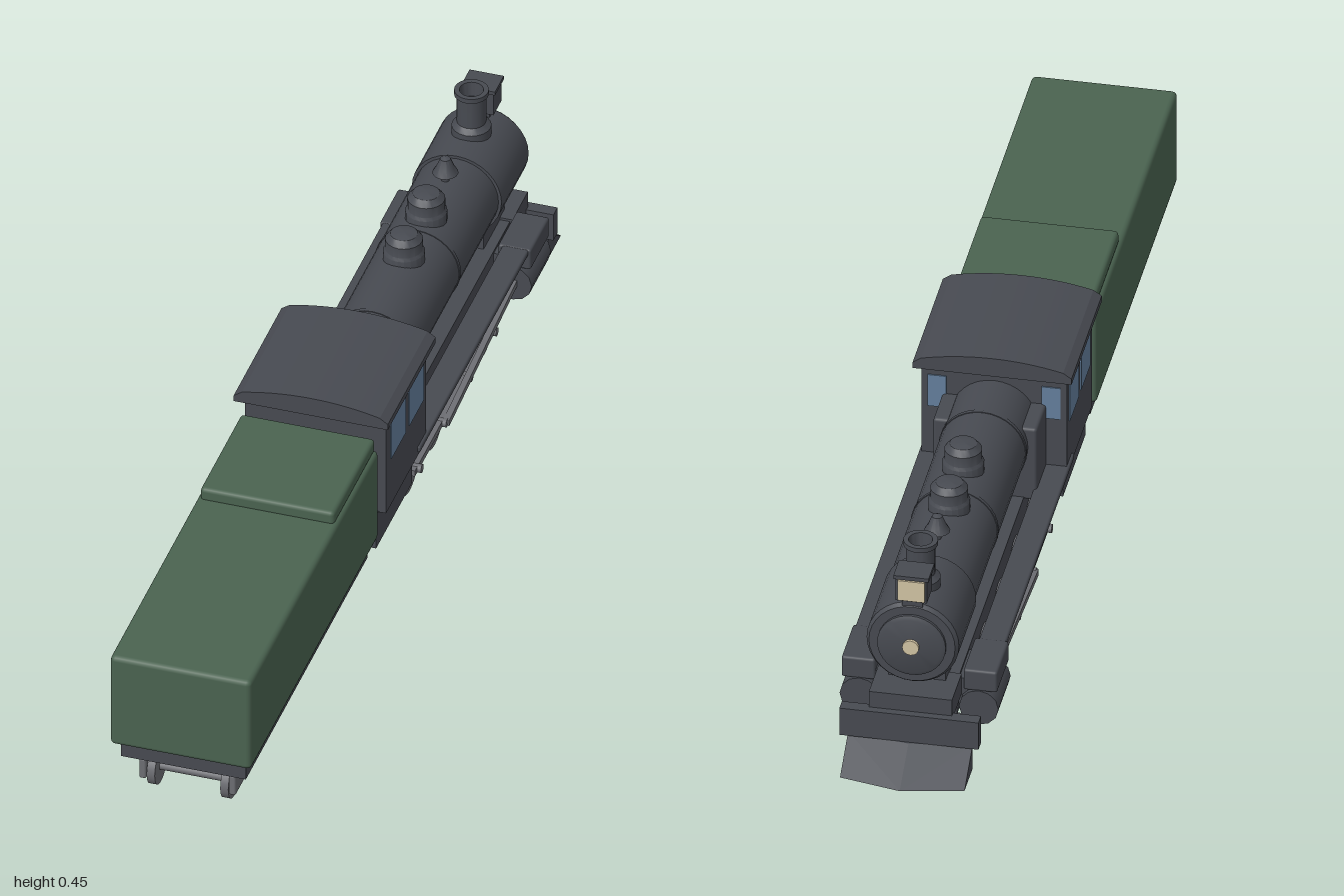
import * as THREE from 'three';
import { RoundedBoxGeometry } from 'three/addons/geometries/RoundedBoxGeometry.js';
import { ConvexGeometry } from 'three/addons/geometries/ConvexGeometry.js';
import { toCreasedNormals } from 'three/addons/utils/BufferGeometryUtils.js';

const mat = (color) => new THREE.MeshStandardMaterial({ color });

export function createModel() {
  const root = new THREE.Group();
  const dark = mat(0x474a51), green = mat(0x4a6350), steel = mat(0x6c6d72);
  const glass = mat(0x647f9c), cream = mat(0xd2c4a4);

  const add = (name, geo, material, x = 0, y = 0, z = 0) => {
    const mesh = new THREE.Mesh(geo, material);
    mesh.name = name;
    mesh.position.set(x, y, z);
    root.add(mesh);
    return mesh;
  };
  // Box given by its extents on each axis; r rounds the edges
  const box = (name, material, x0, x1, y0, y1, z0, z1, r = 0) => {
    const s = [x1 - x0, y1 - y0, z1 - z0];
    const geo = r ? new RoundedBoxGeometry(...s, 2, r) : new THREE.BoxGeometry(...s);
    return add(name, geo, material, (x0 + x1) / 2, (y0 + y1) / 2, (z0 + z1) / 2);
  };
  // Solid of revolution; points are [radius, height]
  const lathe = (points, sides) => toCreasedNormals(
    new THREE.LatheGeometry(points.map((p) => new THREE.Vector2(...p)), sides), 0.6);
  // Cylinder lying along x
  const disc = (name, material, r, width, x, y, z, sides = 24) => {
    const mesh = add(name, new THREE.CylinderGeometry(r, r, width, sides), material, x, y, z);
    mesh.rotation.z = Math.PI / 2;
    return mesh;
  };
  // Flat bar between two points in the side plane
  const bar = (name, x, y0, z0, y1, z1, height) => {
    const geo = new THREE.BoxGeometry(0.012, height, Math.hypot(y1 - y0, z1 - z0));
    const mesh = add(name, geo, steel, x, (y0 + y1) / 2, (z0 + z1) / 2);
    mesh.rotation.x = -Math.atan2(y1 - y0, z1 - z0);
  };

  // Tender
  box('tenderBody', green, -0.14, 0.14, 0.13, 0.335, 0.21, 1, 0.01);
  box('coalCover', green, -0.133, 0.133, 0.33, 0.36, 0.21, 0.465, 0.008);
  box('tenderFrame', dark, -0.124, 0.124, 0.093, 0.135, 0.23, 0.98);
  for (const z of [0.38, 0.84]) {
    box('truckBolster', dark, -0.05, 0.05, 0.074, 0.094, z - 0.04, z + 0.04);
    box('truckCrossbeam', dark, -0.09, 0.09, 0.05, 0.076, z - 0.025, z + 0.025);
    for (const s of [-1, 1]) {
      box('truckSideFrame', steel, s * 0.089 - 0.007, s * 0.089 + 0.007, 0.032, 0.077, z - 0.117, z + 0.117, 0.004);
    }
    for (const dz of [-0.076, 0.076]) {
      disc('truckAxle', steel, 0.01, 0.18, 0, 0.042, z + dz, 10);
      for (const s of [-1, 1]) disc('truckWheel', steel, 0.039, 0.016, s * 0.073, 0.042, z + dz);
    }
  }
  box('coupler', dark, -0.03, 0.03, 0.1, 0.12, 0.17, 0.24);

  // Locomotive frame and running boards
  box('mainFrame', dark, -0.075, 0.075, 0.08, 0.155, -0.82, 0.18);
  box('cabFloor', dark, -0.125, 0.125, 0.08, 0.157, -0.04, 0.18);
  box('frontDeck', dark, -0.08, 0.08, 0.115, 0.16, -0.895, -0.8);
  box('smokeboxSaddle', dark, -0.055, 0.055, 0.15, 0.21, -0.83, -0.7);
  box('bufferBeam', dark, -0.134, 0.134, 0.065, 0.125, -0.91, -0.885);
  const pilot = [[0, 0.012, -1], [0, 0.065, -0.915]];
  for (const s of [-0.12, 0.12]) {
    pilot.push([s, 0.065, -0.895], [s, 0.012, -0.895], [s, 0.012, -0.975]);
  }
  add('pilot', new ConvexGeometry(pilot.map((p) => new THREE.Vector3(...p))), dark);

  // Boiler, smokebox and door, turned about a horizontal axis
  const boiler = add('boiler', lathe([
    [0, 0.06], [0.083, 0.06], [0.083, 0.705], [0.089, 0.705], [0.089, 0.872], [0.083, 0.88],
    [0.066, 0.88], [0.066, 0.886], [0.058, 0.89], [0, 0.89],
  ], 32), dark, 0, 0.268, 0);
  boiler.rotation.x = -Math.PI / 2;
  for (const z of [-0.19, -0.465]) {
    add('boilerBand', new THREE.CylinderGeometry(0.0845, 0.0845, 0.008, 32), dark, 0, 0.268, z).rotation.x = Math.PI / 2;
  }
  add('doorBoss', new THREE.CylinderGeometry(0.016, 0.016, 0.008, 16), cream, 0, 0.268, -0.892).rotation.x = Math.PI / 2;
  box('firebox', dark, -0.1, 0.1, 0.15, 0.31, -0.17, -0.07, 0.006);

  // Boiler-top fittings
  for (const z of [-0.38, -0.517]) {
    add('dome', lathe([
      [0.04, -0.025], [0.04, 0.01], [0.036, 0.016], [0.036, 0.038], [0.026, 0.05], [0.015, 0.053], [0, 0.054],
    ], 20), dark, 0, 0.352, z);
  }
  add('bell', lathe([
    [0.008, -0.01], [0.008, 0.018], [0.025, 0.018], [0.018, 0.03], [0.01, 0.05], [0, 0.055],
  ], 14), dark, 0, 0.35, -0.635);
  add('chimney', lathe([
    [0.038, -0.02], [0.038, 0.018], [0.028, 0.028], [0.028, 0.09], [0.033, 0.09], [0.033, 0.1],
    [0.023, 0.1], [0.02, 0.07], [0, 0.07],
  ], 20), dark, 0, 0.35, -0.796);
  box('headlightBracket', dark, -0.02, 0.02, 0.33, 0.372, -0.878, -0.845);
  box('headlightCase', dark, -0.03, 0.03, 0.367, 0.418, -0.887, -0.838);
  box('headlightCap', dark, -0.034, 0.034, 0.416, 0.424, -0.89, -0.835);
  box('headlightLens', cream, -0.026, 0.026, 0.37, 0.414, -0.891, -0.885);

  // Cab with arched roof
  box('cabBody', dark, -0.14, 0.14, 0.155, 0.385, -0.08, 0.165);
  const roof = new THREE.Shape();
  roof.moveTo(-0.153, 0.373);
  roof.lineTo(0.153, 0.373);
  roof.lineTo(0.153, 0.386);
  roof.lineTo(0.137, 0.397);
  roof.quadraticCurveTo(0.07, 0.413, 0, 0.413);
  roof.quadraticCurveTo(-0.07, 0.413, -0.137, 0.397);
  roof.lineTo(-0.153, 0.386);
  const roofGeo = new THREE.ExtrudeGeometry(roof, { depth: 0.295, bevelEnabled: false, curveSegments: 8 });
  add('cabRoof', toCreasedNormals(roofGeo, 0.35), dark, 0, 0, -0.1);

  // Paired parts on both sides
  for (const s of [-1, 1]) {
    const side = (name, material, a, b, ...rest) =>
      box(name, material, Math.min(s * a, s * b), Math.max(s * a, s * b), ...rest);
    side('sideWindow', glass, 0.135, 0.1425, 0.265, 0.352, 0.05, 0.138);
    side('sideWindow', glass, 0.135, 0.1425, 0.265, 0.352, -0.06, 0.027);
    side('frontWindow', glass, 0.092, 0.128, 0.28, 0.35, -0.0825, -0.075);
    side('runningBoard', dark, 0.093, 0.145, 0.162, 0.175, -0.7, -0.03, 0.004);
    side('valveChest', dark, 0.085, 0.15, 0.13, 0.176, -0.81, -0.695, 0.005);
    const cylinder = add('steamCylinder', new THREE.CylinderGeometry(0.038, 0.038, 0.12, 12), dark, s * 0.115, 0.095, -0.752);
    cylinder.rotation.x = Math.PI / 2;
    side('cylinderMount', dark, 0.06, 0.11, 0.08, 0.15, -0.8, -0.7);

    // Wheels and rods
    for (const z of [-0.12, -0.274, -0.428, -0.582]) {
      disc('drivingWheel', steel, 0.063, 0.018, s * 0.086, 0.064, z, 28);
      disc('wheelHub', steel, 0.018, 0.03, s * 0.086, 0.064, z, 14);
      disc('crankPin', steel, 0.009, 0.03, s * 0.105, 0.058, z, 10);
    }
    disc('leadingWheel', steel, 0.038, 0.016, s * 0.075, 0.042, -0.825);
    bar('sideRod', s * 0.106, 0.058, -0.1, 0.058, -0.602, 0.013);
    bar('mainRod', s * 0.118, 0.058, -0.274, 0.097, -0.7, 0.013);
  }
  for (const z of [-0.12, -0.274, -0.428, -0.582]) disc('drivingAxle', steel, 0.012, 0.17, 0, 0.064, z, 10);
  disc('leadingAxle', steel, 0.01, 0.15, 0, 0.042, -0.825, 10);
  return root;
}
